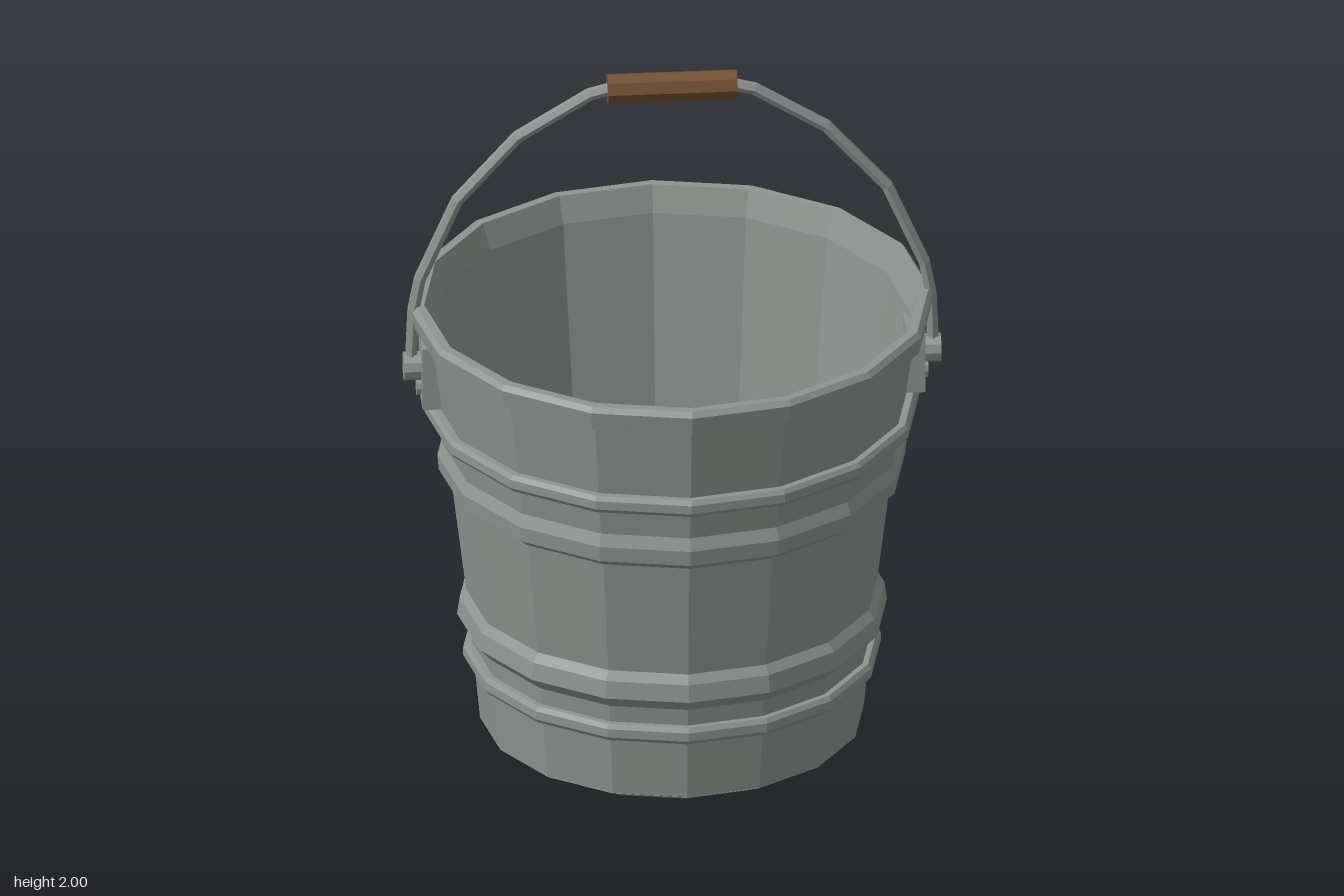
import * as THREE from 'three';

const SIDES = 16;

// Curve of straight runs between points, with mitred corners
class Polyline extends THREE.Curve {
  constructor(points) { super(); this.points = points; }
  getPoint(t, target = new THREE.Vector3()) {
    const n = this.points.length - 1;
    const i = Math.min(Math.floor(t * n), n - 1);
    return target.lerpVectors(this.points[i], this.points[i + 1], t * n - i);
  }
  getPointAt(t, target) { return this.getPoint(t, target); }
  getTangentAt(t, target) { return this.getTangent(t, target); }
}

export function createModel() {
  const steel = new THREE.MeshStandardMaterial({ color: 0x8d9591, flatShading: true });
  steel.name = 'galvanised steel';
  const wood = new THREE.MeshStandardMaterial({ color: 0x734f2f, flatShading: true });
  wood.name = 'brown wood';

  const model = new THREE.Group();
  model.name = 'bucket';
  const add = (name, geometry, material = steel, parent = model) => {
    const mesh = new THREE.Mesh(geometry, material);
    mesh.name = name;
    parent.add(mesh);
    return mesh;
  };
  const lathe = (profile) =>
    new THREE.LatheGeometry(profile.map(([r, y]) => new THREE.Vector2(r, y)), SIDES);

  // Body: outside with two raised bands, rolled rim, then inside down to the floor
  add('body', lathe([
    [0, 0], [0.447, 0], [0.527, 0.045],
    [0.553, 0.325], [0.59, 0.365], [0.583, 0.415], [0.565, 0.44],
    [0.607, 0.785], [0.64, 0.81], [0.644, 0.855], [0.63, 0.89],
    [0.68, 1.235], [0.71, 1.25], [0.717, 1.3], [0.705, 1.315],
    [0.68, 1.315], [0.655, 1.24], [0.52, 0.04], [0, 0.04],
  ]));

  // Wire hoops
  for (const [name, r, y] of [['lowerHoop', 0.555, 0.25], ['upperHoop', 0.661, 1.0]]) {
    const w = 0.018, h = 0.025;
    add(name, lathe([
      [r - w, y], [r - w / 2, y - h], [r + w / 2, y - h], [r + w, y - h / 2],
      [r + w, y + h / 2], [r + w / 2, y + h], [r - w / 2, y + h], [r - w, y],
    ]));
  }

  // Seam rod down the back
  const seamEnds = [new THREE.Vector3(0, 0.19, -0.556), new THREE.Vector3(0, 1.16, -0.668)];
  add('backSeam', new THREE.TubeGeometry(new THREE.LineCurve3(...seamEnds), 1, 0.013, 6));

  // Ears: plate, pivot knob and rivet on each side
  for (const s of [1, -1]) {
    const ear = new THREE.Group();
    ear.name = s > 0 ? 'leftEar' : 'rightEar';
    model.add(ear);
    add('plate', new THREE.BoxGeometry(0.052, 0.185, 0.145), steel, ear)
      .position.set(s * 0.664, 1.122, 0);
    for (const [name, r, y, end] of [['pivot', 0.04, 1.13, 0.737], ['rivet', 0.028, 1.07, 0.702]]) {
      const pin = add(name, new THREE.CylinderGeometry(r, r, end - 0.67, 10), steel, ear);
      pin.rotation.z = Math.PI / 2;
      pin.position.set(s * (end + 0.67) / 2, y, 0);
    }
  }

  // Wire handle, mirrored from one half
  const half = [[0.717, 1.13], [0.71, 1.3], [0.692, 1.395], [0.59, 1.632],
    [0.424, 1.82], [0.225, 1.943], [0.17, 1.957]];
  const path = [
    ...half.map(([x, y]) => new THREE.Vector3(-x, y, 0)),
    ...half.slice().reverse().map(([x, y]) => new THREE.Vector3(x, y, 0)),
  ];
  add('handleWire', new THREE.TubeGeometry(new Polyline(path), path.length - 1, 0.018, 6));

  // Wooden grip
  const grip = add('grip', new THREE.CylinderGeometry(0.043, 0.043, 0.355, 8), wood);
  grip.rotation.z = Math.PI / 2;
  grip.position.y = 1.957;

  return model;
}
